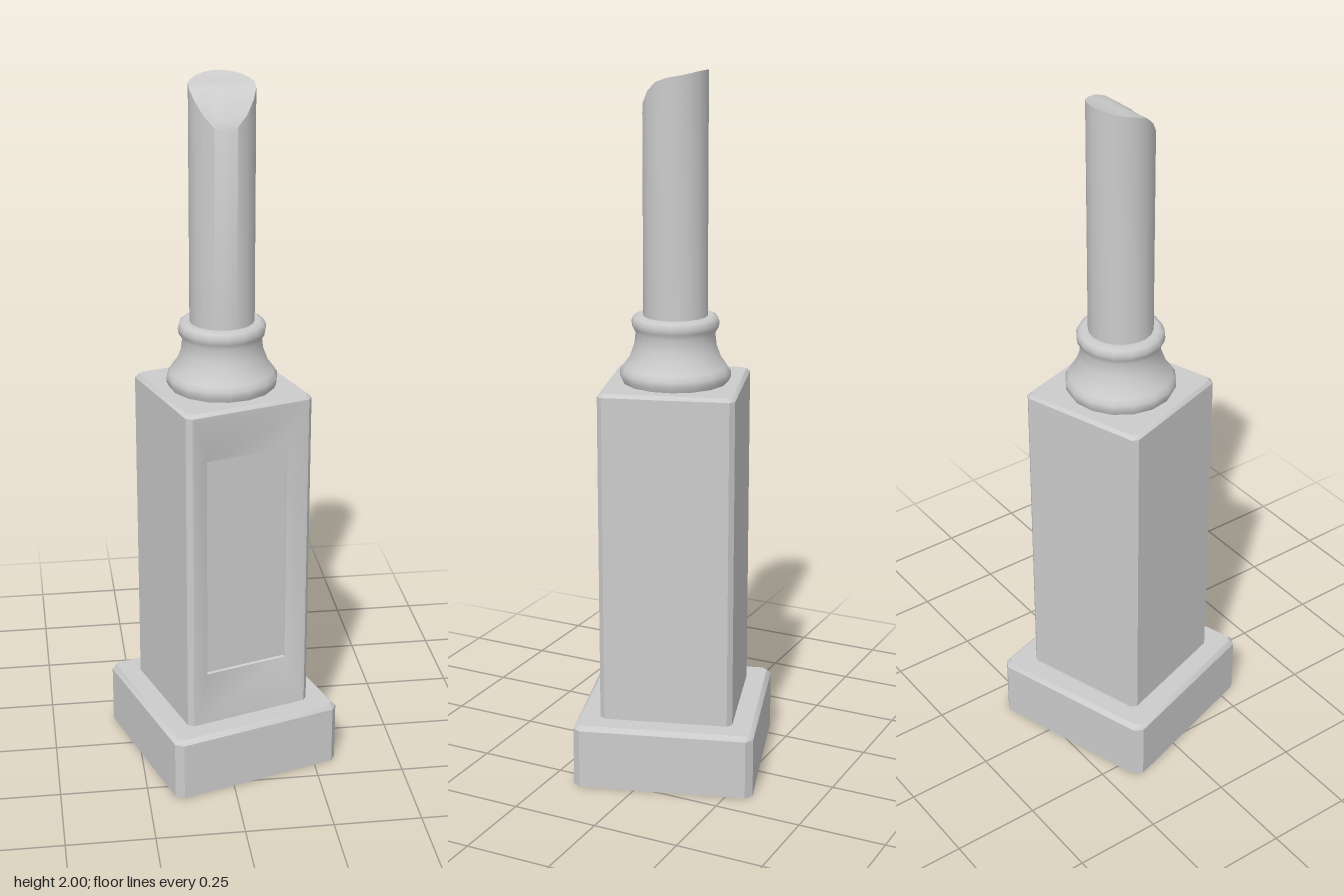
import * as THREE from 'three';
import { toCreasedNormals } from 'three/addons/utils/BufferGeometryUtils.js';

const material = new THREE.MeshStandardMaterial({ color: 0xcccccc, side: THREE.DoubleSide });

// Joins rings of [x, y, z] points with quads and fills the last ring
function loft(rings, skip = () => false) {
  const pos = [];
  for (let r = 0; r < rings.length - 1; r++) {
    const a = rings[r], b = rings[r + 1], n = a.length;
    for (let i = 0; i < n; i++) {
      if (skip(r, i)) continue;
      const j = (i + 1) % n;
      pos.push(...a[i], ...a[j], ...b[j], ...a[i], ...b[j], ...b[i]);
    }
  }
  const end = rings[rings.length - 1];
  for (let i = 1; i < end.length - 1; i++) pos.push(...end[0], ...end[i], ...end[i + 1]);
  const geo = new THREE.BufferGeometry();
  geo.setAttribute('position', new THREE.Float32BufferAttribute(pos, 3));
  return toCreasedNormals(geo, 0.6);
}

// Square ring with cut corners, half width h, corner cut c
function squareRing(h, c, y) {
  const k = h - c;
  return [[h, -k], [h, k], [k, h], [-k, h], [-h, k], [-h, -k], [-k, -h], [k, -h]]
    .map(([x, w]) => [x, y, -w]);
}

// Upright rectangle facing the front
function panelRing(w, y0, y1, z) {
  return [[w, y0, z], [w, y1, z], [-w, y1, z], [-w, y0, z]];
}

// Height of the broken shaft top
const breakCurve = [[-0.09, 2], [-0.05, 1.988], [0, 1.98], [0.035, 1.96], [0.065, 1.92], [0.09, 1.872]];
function breakHeight(x, z) {
  let y = breakCurve[breakCurve.length - 1][1];
  for (let i = 0; i < breakCurve.length - 1; i++) {
    const [z0, y0] = breakCurve[i], [z1, y1] = breakCurve[i + 1];
    if (z <= z1) {
      y = y0 + (y1 - y0) * Math.max(0, (z - z0) / (z1 - z0));
      break;
    }
  }
  // small chip near the front edge
  const chip = Math.hypot(x + 0.035, z - 0.05);
  return y - 0.015 * Math.max(0, 1 - chip / 0.03);
}

export function createModel() {
  const model = new THREE.Group();
  model.name = 'brokenColumn';
  const add = (name, geo, parent) => {
    const mesh = new THREE.Mesh(geo, material);
    mesh.name = name;
    parent.add(mesh);
    return mesh;
  };

  // Square pedestal, turned about the upright axis
  const pedestal = new THREE.Group();
  pedestal.name = 'pedestal';
  pedestal.rotation.y = 0.305;
  model.add(pedestal);

  // Plinth, hollow underneath
  add('plinth', loft([
    squareRing(0.257, 0.02, 0),
    squareRing(0.257, 0.02, 0.172),
    squareRing(0.245, 0.014, 0.185),
  ]), pedestal);

  // Body, with its front left open for the recessed panel
  const half = 0.19, cut = 0.014, bottom = 0.07, top = 1.132;
  add('body', loft([
    squareRing(half, cut, bottom),
    squareRing(half, cut, top),
    squareRing(half - 0.009, cut, 1.142),
  ], (ring, side) => ring === 0 && side === 6), pedestal);

  // Bevelled frame and recessed panel
  add('frontPanel', loft([
    panelRing(half - cut, bottom, top, half),
    panelRing(0.17, 0.19, 1.125, half),
    panelRing(0.123, 0.33, 0.99, 0.166),
    panelRing(0.122, 0.332, 0.988, 0.158),
  ]), pedestal);

  // Flared moulding at the foot of the column
  const moulding = [
    [0.145, 1.135], [0.155, 1.155], [0.155, 1.172], [0.146, 1.186], [0.128, 1.21], [0.115, 1.245],
    [0.111, 1.28], [0.12, 1.295], [0.123, 1.31], [0.118, 1.325], [0.105, 1.331], [0.085, 1.328],
  ].map(([r, y]) => new THREE.Vector2(r, y));
  add('columnBase', new THREE.LatheGeometry(moulding, 16), model);

  // Shaft with a slanted, broken top
  const outline = [[0.09, 1.32], [0.09, 2], [0.075, 2], [0.055, 2], [0.03, 2], [0, 2]]
    .map(([r, y]) => new THREE.Vector2(r, y));
  const shaft = new THREE.LatheGeometry(outline, 18);
  const p = shaft.attributes.position;
  for (let i = 0; i < p.count; i++) {
    if (p.getY(i) > 1.9) p.setY(i, breakHeight(p.getX(i), p.getZ(i)));
  }
  add('shaft', toCreasedNormals(shaft, 0.6), model);

  return model;
}
